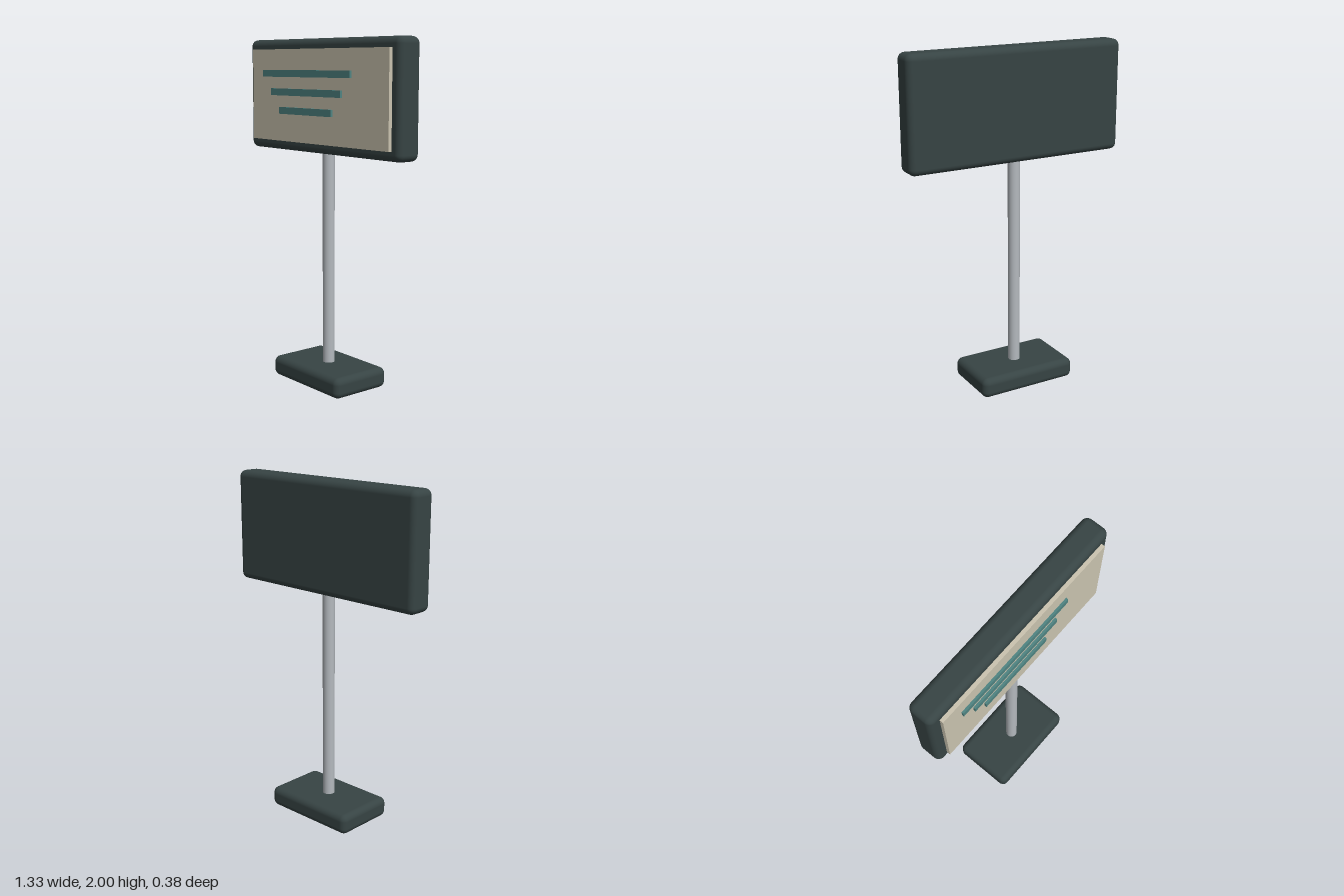
import * as THREE from 'three';
import { RoundedBoxGeometry } from 'three/addons/geometries/RoundedBoxGeometry.js';

const material = (name, color) => {
  const m = new THREE.MeshStandardMaterial({ color });
  m.name = name;
  return m;
};

export function createModel() {
  const group = new THREE.Group();
  group.name = 'signboard';

  const darkCasing = material('dark casing', 0x374444);
  const creamPanel = material('cream panel', 0xcbc4b0);
  const tealLine = material('teal line', 0x4f8482);
  const greyMetal = material('grey metal', 0xb4b9be);

  const add = (name, geometry, mat, x, y, z) => {
    const mesh = new THREE.Mesh(geometry, mat);
    mesh.name = name;
    mesh.position.set(x, y, z);
    group.add(mesh);
  };

  // Foot and post
  add('base', new RoundedBoxGeometry(0.604, 0.12, 0.378, 4, 0.038), darkCasing, 0, 0.06, 0);
  add('post', new THREE.CylinderGeometry(0.035, 0.035, 1.3, 24), greyMetal, 0, 0.75, 0);

  // Sign casing and its raised face
  add('casing', new RoundedBoxGeometry(1.334, 0.647, 0.151, 4, 0.038), darkCasing, 0, 1.6765, 0);
  add('facePanel', new THREE.BoxGeometry(1.21, 0.533, 0.022), creamPanel, 0, 1.676, 0.086);

  // Three shortening lines on the face
  [0.794, 0.635, 0.476].forEach((width, i) => {
    add(`line${i + 1}`, new THREE.BoxGeometry(width, 0.04, 0.014), tealLine,
      -0.087, 1.803 - i * 0.107, 0.103);
  });

  return group;
}
